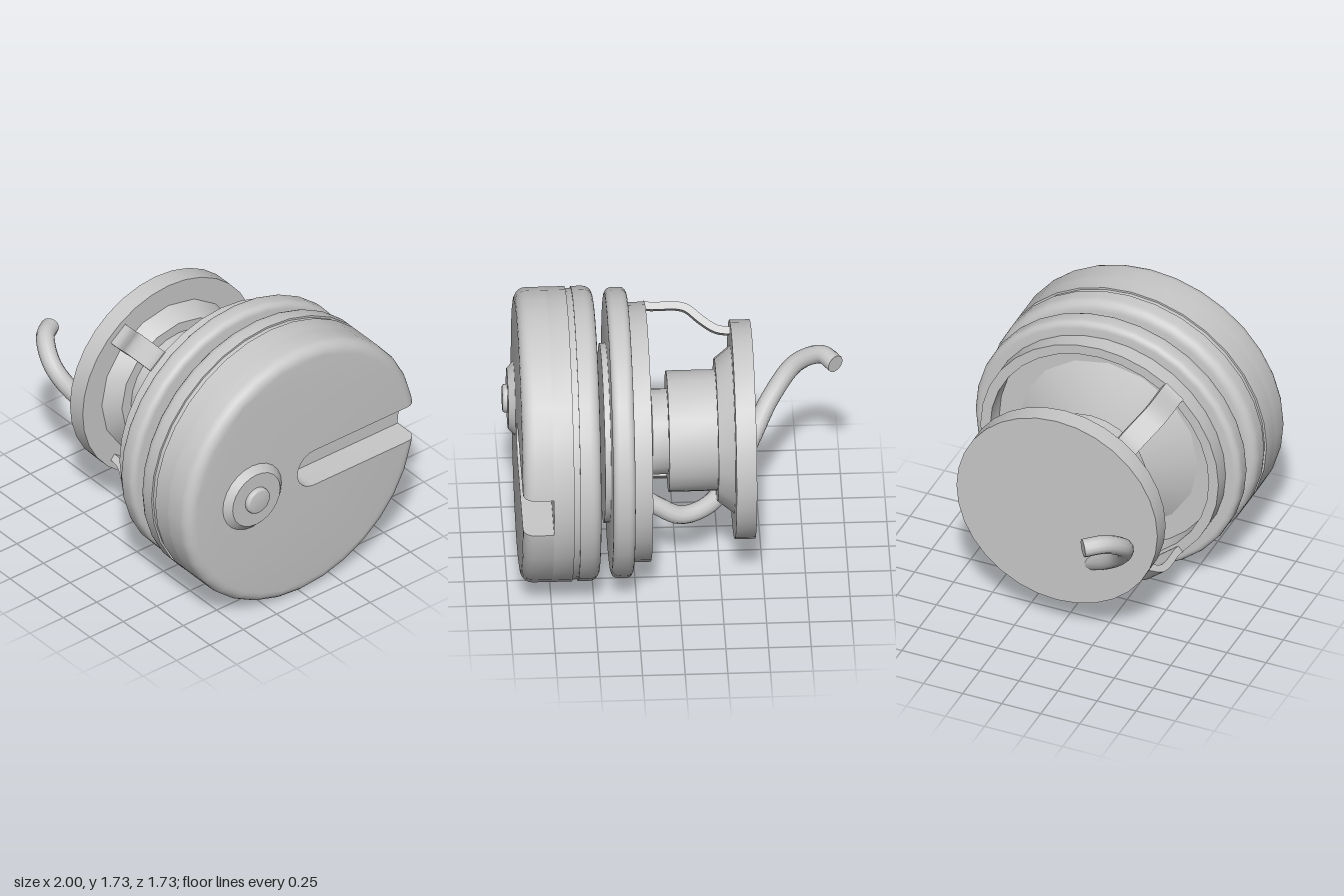
import * as THREE from 'three';
import { toCreasedNormals } from 'three/addons/utils/BufferGeometryUtils.js';

const AXIS_Y = 0.865;
const R = 0.865;

export function createModel() {
  const model = new THREE.Group();
  const body = new THREE.Group(); // everything is centred on the x axis here
  body.name = 'body';
  body.position.y = AXIS_Y;
  model.add(body);

  const grey = new THREE.MeshStandardMaterial({ color: 0xc8c8c8 });
  grey.name = 'light grey';

  const add = (name, geometry) => {
    const mesh = new THREE.Mesh(toCreasedNormals(geometry, 0.62), grey);
    mesh.name = name;
    body.add(mesh);
    return mesh;
  };

  // Turns a profile of [x, radius] points around the x axis
  const turn = (name, profile, sides = 32) => {
    const points = profile.map(([x, r]) => new THREE.Vector2(r, x));
    return add(name, new THREE.LatheGeometry(points, sides).rotateZ(-Math.PI / 2));
  };

  // Quarter round for a profile, from angle a to b (0 points outwards, 90 to +x)
  const round = (x, r, rad, a, b, n = 5) => {
    const out = [];
    for (let i = 0; i <= n; i++) {
      const t = THREE.MathUtils.degToRad(a + ((b - a) * i) / n);
      out.push([x + rad * Math.sin(t), r + rad * Math.cos(t)]);
    }
    return out;
  };

  // Rear flange and stepped hub
  turn('rearFlange', [[-0.45, 0], [-0.45, 0.643], [-0.33, 0.643], [-0.33, 0]]);
  turn('hubCollar', [[-0.34, 0], [-0.34, 0.5], [-0.33, 0.5], [-0.235, 0.425], [-0.235, 0]], 16);
  turn('hub', [[-0.24, 0], [-0.24, 0.357], [0.05, 0.357], [0.05, 0]], 24);
  turn('neck', [[0.04, 0], [0.04, 0.255], [0.15, 0.255], [0.15, 0]], 16);
  turn('innerCone', [[0.14, 0], [0.14, 0.25], [0.3, 0.57], [0.3, 0]], 16);

  // Hollow cage ring, rounded rim and front plate
  turn('cageRing', [[0.28, 0.7], [0.165, 0.7], [0.165, 0.762], [0.28, 0.762]]);
  turn('rim', [
    [0.3, 0], [0.3, 0.7], [0.27, 0.7],
    ...round(0.31, 0.812, 0.04, -90, 0),
    ...round(0.36, 0.812, 0.04, 0, 90),
    [0.4, 0],
  ]);
  turn('frontPlate', [[0.395, 0], [0.395, 0.527], [0.435, 0.527], [0.435, 0]]);

  // Drum: grooved rear half
  turn('drumRear', [
    [0.47, 0],
    ...round(0.53, R - 0.06, 0.06, -90, 0),
    [0.595, R], [0.595, R - 0.012], [0.63, R - 0.012], [0.63, R],
    [0.75, R], [0.75, 0],
  ]);

  // Drum: front half with a round-ended slot and a rounded outer edge
  const slot = 0.123;
  const outline = [];
  const corner = Math.sqrt(R * R - slot * slot);
  outline.push(new THREE.Vector2(corner, slot));
  for (let i = 1; i < 32; i++) {
    const a = (i * Math.PI) / 16;
    outline.push(new THREE.Vector2(R * Math.cos(a), R * Math.sin(a)));
  }
  outline.push(new THREE.Vector2(corner, -slot));
  for (let i = 0; i <= 12; i++) {
    const a = -Math.PI / 2 - (i * Math.PI) / 12;
    outline.push(new THREE.Vector2(0.085 + slot * Math.cos(a), slot * Math.sin(a)));
  }
  const levels = [[0.75, R], ...round(0.86, R - 0.07, 0.07, 0, 90)];
  const front = new THREE.ExtrudeGeometry(new THREE.Shape(outline), {
    depth: 1, steps: levels.length - 1, bevelEnabled: false,
  });
  const pos = front.attributes.position;
  for (let i = 0; i < pos.count; i++) {
    let x = pos.getX(i), y = pos.getY(i);
    const [depth, r] = levels[Math.round(pos.getZ(i) * (levels.length - 1))];
    const len = Math.hypot(x, y);
    if (len > R - 0.001) {
      if (x > 0 && Math.abs(Math.abs(y) - slot) < 0.0001) {
        x = Math.sqrt(r * r - y * y); // keep the slot walls parallel
      } else {
        x *= r / len;
        y *= r / len;
      }
    }
    pos.setXYZ(i, x, y, depth);
  }
  add('drumFront', front.rotateY(Math.PI / 2));

  // Off-centre button on the drum face
  turn('buttonBase', [[0.92, 0], [0.92, 0.22], [0.93, 0.22], [0.97, 0.178], [0.97, 0]], 24).position.z = 0.378;
  turn('buttonPost', [
    [0.96, 0], [0.96, 0.084], ...round(0.985, 0.069, 0.015, 0, 90, 3), [1, 0],
  ], 20).position.z = 0.378;

  // Two bent struts joining flange and cage ring
  const curve = new THREE.SplineCurve([
    [-0.335, 0.6], [-0.26, 0.612], [-0.18, 0.665], [-0.1, 0.732],
    [-0.02, 0.755], [0.12, 0.755], [0.17, 0.765],
  ].map(([x, r]) => new THREE.Vector2(x, r)));
  const outer = curve.getPoints(24);
  const inner = outer.map((p, i) => {
    const t = curve.getTangent(i / 24);
    return new THREE.Vector2(p.x + t.y * 0.045, p.y - t.x * 0.045);
  }).reverse();
  for (const angle of [39, 141]) {
    const strut = new THREE.ExtrudeGeometry(new THREE.Shape([...outer, ...inner]), {
      depth: 0.14, bevelEnabled: false,
    });
    strut.translate(0, 0, -0.07).rotateX(THREE.MathUtils.degToRad(angle));
    add('strut', strut);
  }

  // Curved cable passing through the flange, with a flat end
  const path = new THREE.CatmullRomCurve3([
    [-0.955, 1.04, 0.39], [-0.88, 1.045, 0.485], [-0.73, 0.945, 0.545],
    [-0.58, 0.765, 0.465], [-0.45, 0.585, 0.28], [-0.32, 0.46, 0.07],
    [-0.18, 0.395, -0.1], [-0.02, 0.39, -0.18], [0.12, 0.47, -0.19], [0.27, 0.57, -0.18],
  ].map(([x, y, z]) => new THREE.Vector3(x, y - AXIS_Y, z)));
  add('cable', new THREE.TubeGeometry(path, 60, 0.055, 12));
  const cap = add('cableEnd', new THREE.CircleGeometry(0.055, 12));
  cap.position.copy(path.getPoint(0));
  cap.quaternion.setFromUnitVectors(new THREE.Vector3(0, 0, 1), path.getTangent(0).negate());

  return model;
}
